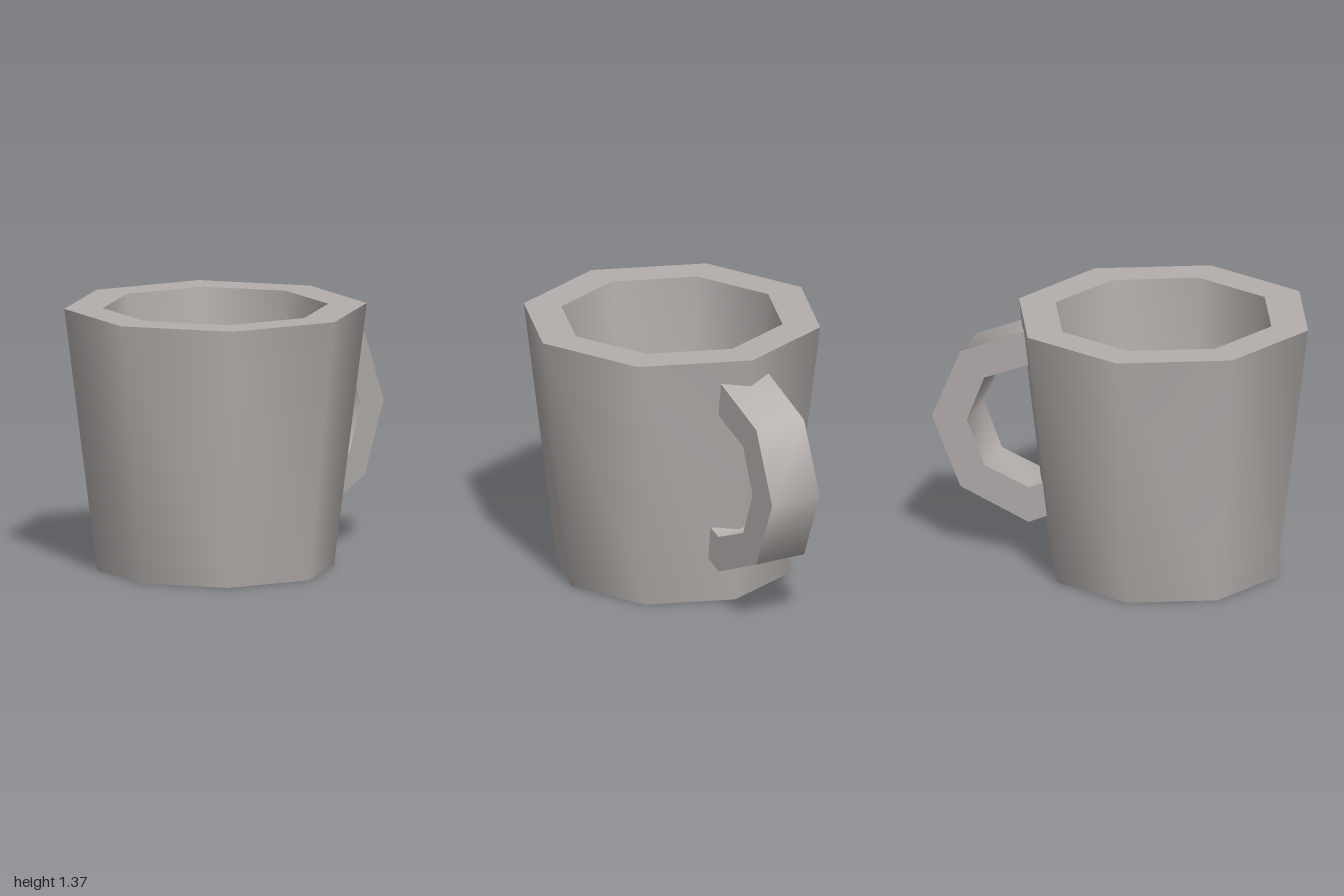
import * as THREE from 'three';
import { toCreasedNormals } from 'three/addons/utils/BufferGeometryUtils.js';

const CREASE = 1.0; // smooth across the 45 degree sides, sharp at rims

export function createModel() {
  const model = new THREE.Group();
  model.name = 'mug';
  const clay = new THREE.MeshStandardMaterial({ color: 0xb4aeac });
  clay.name = 'warm grey';

  const add = (name, geometry) => {
    const mesh = new THREE.Mesh(toCreasedNormals(geometry, CREASE), clay);
    mesh.name = name;
    model.add(mesh);
    return mesh;
  };

  // Eight-sided tapered cup: base, outer wall, rim, inner wall, floor
  const profile = [
    [0, 0], [0.615, 0], [0.785, 1.37], [0.585, 1.37], [0.495, 0.25], [0, 0.25],
  ].map(([r, y]) => new THREE.Vector2(r, y));
  add('cup', new THREE.LatheGeometry(profile, 8)).position.z = 0.21;

  // Handle outline as (distance behind centre, height), extruded across x
  const outline = [
    [0.375, 0.25], [0.475, 0.205], [0.845, 0.36], [1, 0.73], [0.845, 1.1], [0.5, 1.245],
    [0.475, 1.065], [0.715, 0.97], [0.81, 0.73], [0.715, 0.49], [0.475, 0.395], [0.395, 0.425],
  ].map(([d, y]) => new THREE.Vector2(d, y));
  const width = 0.29;
  const handle = new THREE.ExtrudeGeometry(new THREE.Shape(outline), { depth: width, bevelEnabled: false });
  handle.translate(0, 0, -width / 2);
  handle.rotateY(Math.PI / 2);
  add('handle', handle);

  return model;
}
